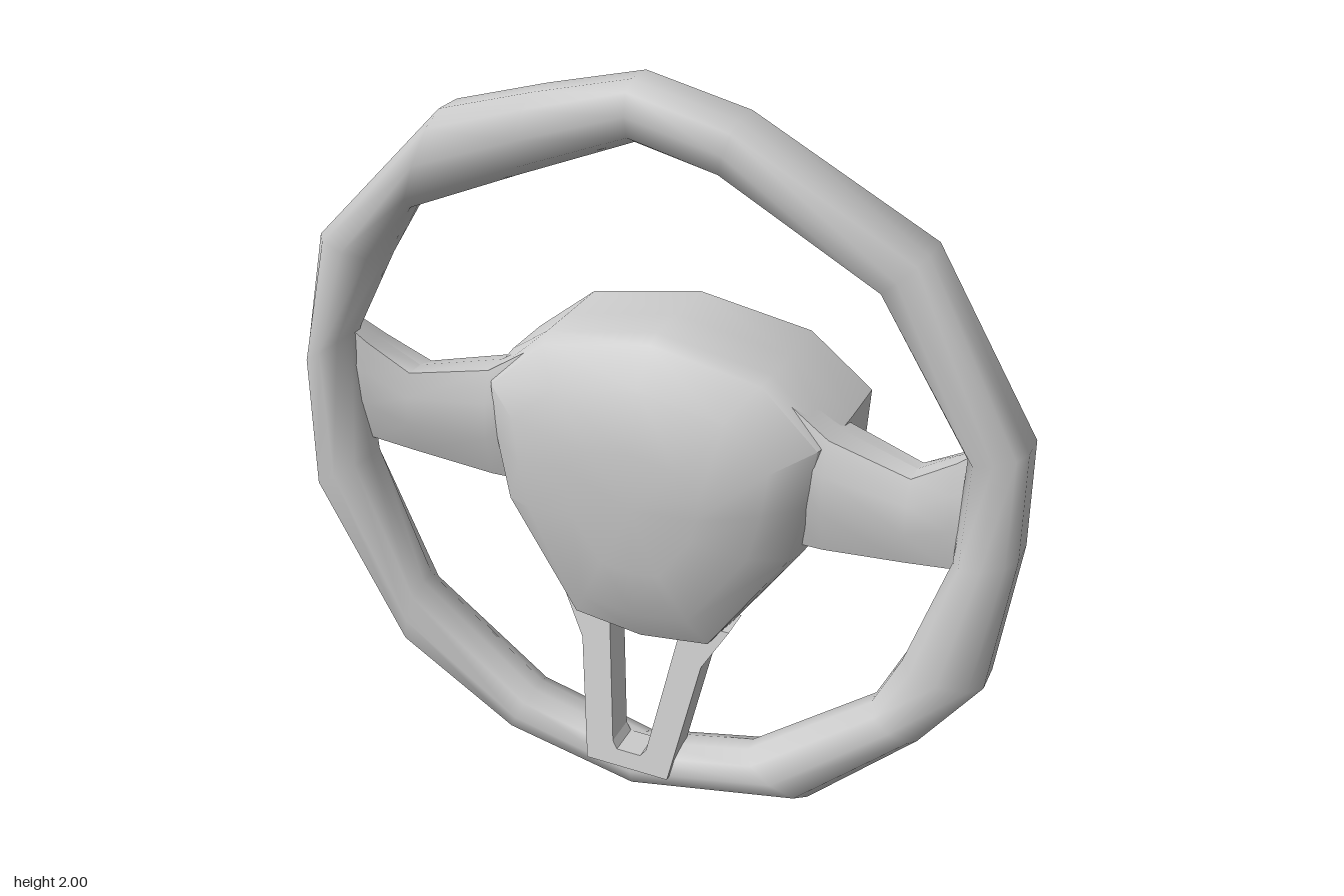
import * as THREE from 'three';
import { toCreasedNormals } from 'three/addons/utils/BufferGeometryUtils.js';

const material = new THREE.MeshStandardMaterial({ color: 0xcccccc });

// Skin a list of equal-length rings of [x, y, z]; either joined end to end or capped.
function loft(rings, loop, crease) {
  const n = rings[0].length, m = rings.length;
  const pts = rings.flat();
  let faces = [];
  for (let i = 0; i < (loop ? m : m - 1); i++) {
    for (let j = 0; j < n; j++) {
      const k = (j + 1) % n, i2 = (i + 1) % m;
      const a = i * n + j, b = i * n + k, c = i2 * n + k, d = i2 * n + j;
      faces.push([a, b, c], [a, c, d]);
    }
  }
  if (!loop) {
    for (const i of [0, m - 1]) {
      const centre = [0, 1, 2].map((c) => rings[i].reduce((s, p) => s + p[c], 0) / n);
      const id = pts.push(centre) - 1;
      for (let j = 0; j < n; j++) {
        const a = i * n + j, b = i * n + (j + 1) % n;
        faces.push(i === 0 ? [id, b, a] : [id, a, b]);
      }
    }
  }
  // Turn the surface outward if its signed volume is negative
  const v = pts.map((p) => new THREE.Vector3(...p));
  const volume = faces.reduce((s, [a, b, c]) => s + v[a].dot(v[b].clone().cross(v[c])), 0);
  if (volume < 0) faces = faces.map(([a, b, c]) => [a, c, b]);
  const geo = new THREE.BufferGeometry().setFromPoints(v);
  geo.setIndex(faces.flat());
  geo.computeVertexNormals();
  return crease ? toCreasedNormals(geo, crease) : geo;
}

function addMesh(group, name, geo) {
  const mesh = new THREE.Mesh(geo, material);
  mesh.name = name;
  group.add(mesh);
}

// Full ring from a right-hand half outline running top to bottom on the centre line
function mirrorRing(half) {
  const left = half.slice(1, -1).reverse().map(([x, y, z]) => [-x, y, z]);
  return [...half, ...left];
}

function makeRim() {
  // outer x, outer y, inner x, inner y, front z
  const stations = [
    [0, 2, 0, 1.85, 0.22], [0.26, 1.94, 0.22, 1.8, 0.23], [0.71, 1.7, 0.6, 1.59, 0.235],
    [0.97, 1.26, 0.83, 1.21, 0.215], [0.975, 0.98, 0.82, 0.93, 0.22], [0.93, 0.61, 0.72, 0.62, 0.235],
    [0.78, 0.4, 0.65, 0.47, 0.235], [0.5, 0.12, 0.32, 0.21, 0.235], [0, 0.005, 0, 0.13, 0.23],
    [-0.38, 0.085, -0.32, 0.21, 0.235], [-0.71, 0.28, -0.66, 0.48, 0.235],
    [-0.975, 0.74, -0.8, 0.85, 0.225], [-0.975, 1.11, -0.83, 1.21, 0.21],
    [-0.88, 1.49, -0.7, 1.45, 0.225], [-0.5, 1.87, -0.61, 1.6, 0.235], [-0.25, 1.94, -0.3, 1.73, 0.23],
  ];
  // u runs outer to inner, w runs back to front
  const profile = [
    [0, 0.2], [0, 0.7], [0.15, 0.92], [0.5, 1], [0.85, 0.9],
    [1, 0.62], [1, 0.35], [0.8, 0.07], [0.45, 0], [0.13, 0.03],
  ];
  const rings = stations.map(([xo, yo, xi, yi, zf]) => profile.map(([u, w]) =>
    [xo + (xi - xo) * u, yo + (yi - yo) * u, 0.065 + (zf - 0.065) * w]));
  return loft(rings, true);
}

function makeHub() {
  const back = [[0, 1.32, -0.24], [0.31, 1.265, -0.24], [0.48, 1.13, -0.24], [0.47, 0.97, -0.24],
    [0.43, 0.83, -0.24], [0.2, 0.83, -0.24], [0, 0.83, -0.24]];
  const belly = [[0, 1.32, -0.08], [0.31, 1.265, -0.08], [0.48, 1.13, -0.08], [0.47, 0.97, -0.07],
    [0.43, 0.8, -0.07], [0.21, 0.64, -0.06], [0, 0.63, -0.06]];
  const edge = [[0, 1.32, 0.04], [0.31, 1.265, 0.04], [0.47, 1.12, 0.05], [0.45, 0.96, 0.07],
    [0.41, 0.79, 0.07], [0.2, 0.485, 0.05], [0, 0.46, 0.06]];
  // Domed front pad: the edge shrinks towards its middle while coming forward
  const pad = (scale, zTop, zBottom) => edge.map(([x, y]) => [
    x * scale, 0.88 + (y - 0.88) * scale, THREE.MathUtils.mapLinear(y, 1.32, 0.46, zTop, zBottom)]);
  const rings = [back, belly, edge, pad(0.96, 0.08, 0.15), pad(0.75, 0.16, 0.19), pad(0.4, 0.205, 0.215)];
  return loft(rings.map(mirrorRing), false, 0.75);
}

function makeSpoke(side) {
  // x, top y, bottom y, back z, front z
  const sections = [
    [0.34, 1.22, 0.78, -0.1, 0.1], [0.47, 1.135, 0.795, -0.075, 0.11],
    [0.69, 1.1, 0.845, 0.0, 0.14], [0.8, 1.18, 0.865, 0.04, 0.16], [0.88, 1.25, 0.88, 0.075, 0.17],
  ];
  const profile = [[0, 0.08], [0, 0.95], [0.4, 1], [0.8, 1], [0.97, 0.75], [1, 0.45], [0.85, 0.1], [0.2, 0.04]];
  const rings = sections.map(([x, top, bottom, zb, zf]) => profile.map(([w, h]) =>
    [side * x, bottom + (top - bottom) * h, zb + (zf - zb) * w]));
  return loft(rings, false, 0.8);
}

function makeLowerBracket() {
  const toPoints = (list) => list.map(([x, y]) => new THREE.Vector2(x, y));
  const shape = new THREE.Shape(toPoints([[-0.12, 0.095], [0.12, 0.095], [0.175, 0.42], [0.24, 0.53],
    [-0.24, 0.53], [-0.175, 0.42]]));
  shape.holes.push(new THREE.Path(toPoints([[-0.035, 0.14], [-0.05, 0.16], [-0.1, 0.48], [0.1, 0.48],
    [0.05, 0.16], [0.035, 0.14]])));
  const depth = 0.09;
  const geo = new THREE.ExtrudeGeometry(shape, { depth, bevelEnabled: false });
  // Lean the bracket back towards the hub
  const pos = geo.attributes.position;
  for (let i = 0; i < pos.count; i++) {
    pos.setZ(i, pos.getZ(i) + 0.24 - depth - 0.3 * (pos.getY(i) - 0.12));
  }
  geo.computeVertexNormals();
  return geo;
}

export function createModel() {
  const wheel = new THREE.Group();
  wheel.name = 'steeringWheel';
  addMesh(wheel, 'rim', makeRim());
  addMesh(wheel, 'hub', makeHub());
  addMesh(wheel, 'leftSpoke', makeSpoke(1));
  addMesh(wheel, 'rightSpoke', makeSpoke(-1));
  addMesh(wheel, 'lowerBracket', makeLowerBracket());
  return wheel;
}
